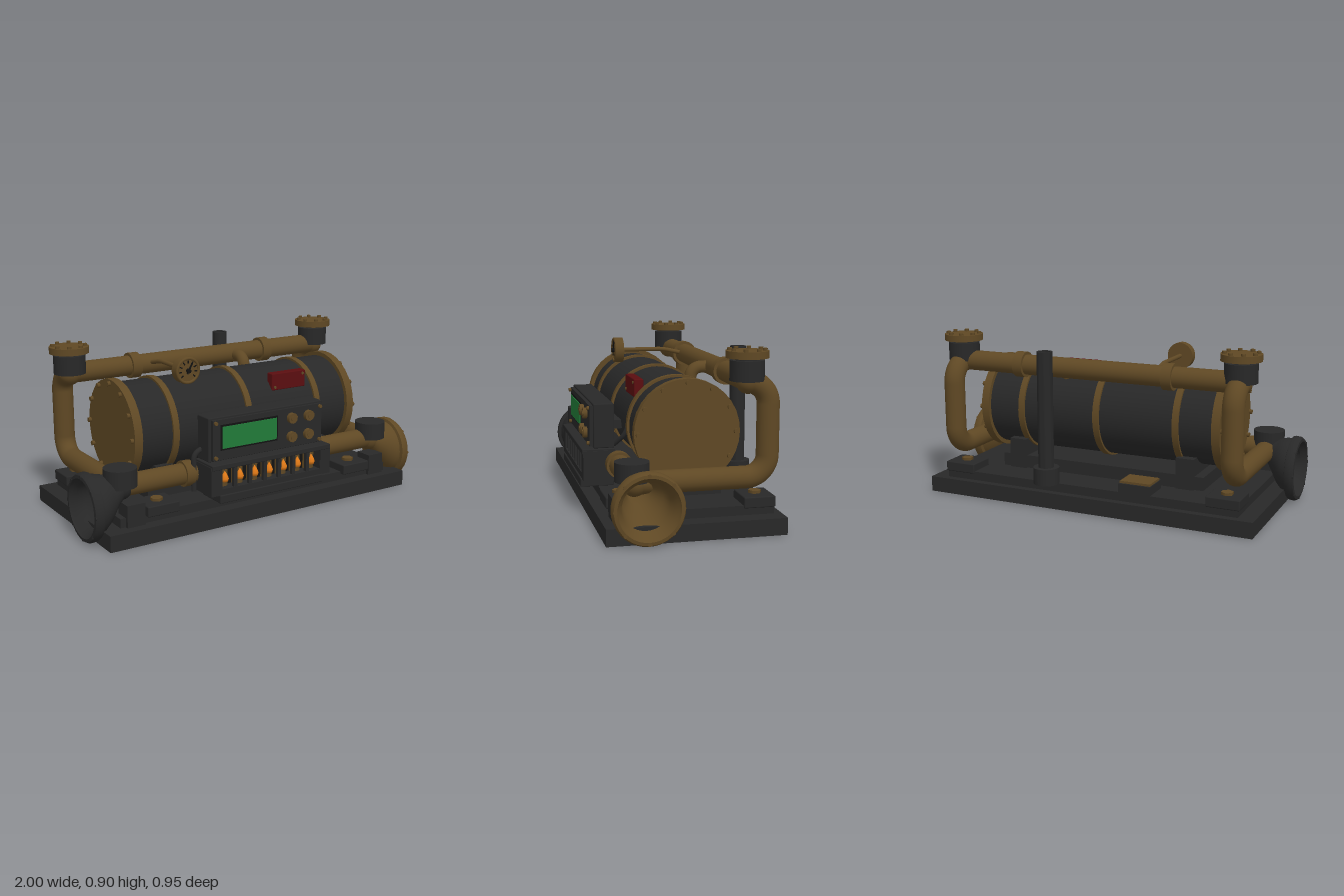
import * as THREE from 'three';
import { toCreasedNormals } from 'three/addons/utils/BufferGeometryUtils.js';
import { RoundedBoxGeometry } from 'three/addons/geometries/RoundedBoxGeometry.js';

const mat = (name, color) => new THREE.MeshStandardMaterial({ name, color });
const V = (x, y, z) => new THREE.Vector3(x, y, z);

export function createModel() {
  const root = new THREE.Group();
  root.name = 'steamMachine';
  const iron = mat('black iron', 0x282828);
  const brass = mat('aged brass', 0x5f4824);
  const red = mat('dark red', 0x5a0e10);
  const green = mat('screen green', 0x217a38);
  const orange = mat('tube glow', 0xe07a18);
  const dark = mat('recess black', 0x121212);

  const add = (name, geo, m, x = 0, y = 0, z = 0) => {
    const mesh = new THREE.Mesh(geo, m);
    mesh.name = name;
    mesh.position.set(x, y, z);
    root.add(mesh);
    return mesh;
  };
  // Box given by its extents
  const box = (name, m, x0, x1, y0, y1, z0, z1, bevel = 0) => {
    const [w, h, d] = [x1 - x0, y1 - y0, z1 - z0];
    const geo = bevel ? new RoundedBoxGeometry(w, h, d, 2, bevel) : new THREE.BoxGeometry(w, h, d);
    return add(name, geo, m, (x0 + x1) / 2, (y0 + y1) / 2, (z0 + z1) / 2);
  };
  // Cylinder along a chosen axis
  const cyl = (name, m, r, len, axis, x, y, z, sides = 32) => {
    const geo = new THREE.CylinderGeometry(r, r, len, sides);
    if (axis === 'x') geo.rotateZ(-Math.PI / 2);
    if (axis === 'z') geo.rotateX(Math.PI / 2);
    return add(name, geo, m, x, y, z);
  };
  // Pipe through points with rounded corners
  const pipe = (name, m, r, bend, pts, segments = 60) => {
    const path = new THREE.CurvePath();
    let from = pts[0];
    for (let i = 1; i < pts.length - 1; i++) {
      const p = pts[i];
      const a = p.clone().add(pts[i - 1].clone().sub(p).setLength(bend));
      const b = p.clone().add(pts[i + 1].clone().sub(p).setLength(bend));
      path.add(new THREE.LineCurve3(from, a));
      path.add(new THREE.CubicBezierCurve3(a, a.clone().lerp(p, 0.55), b.clone().lerp(p, 0.55), b));
      from = b;
    }
    path.add(new THREE.LineCurve3(from, pts[pts.length - 1]));
    return add(name, new THREE.TubeGeometry(path, segments, r, 20), m);
  };

  // Base and deck
  box('base', iron, -0.94, 0.94, 0, 0.085, -0.44, 0.45);
  box('deck', iron, -0.85, 0.85, 0.085, 0.133, -0.4, 0.38);
  box('tankBed', iron, -0.6, 0.6, 0.133, 0.205, -0.205, 0.2);

  // Boiler tank with bands and bolted end rings
  const ty = 0.475;
  cyl('tank', iron, 0.245, 1.4, 'x', 0, ty, 0, 48);
  for (const x of [-0.455, 0, 0.455]) cyl('tankBand', brass, 0.257, 0.035, 'x', x, ty, 0, 48);
  for (const s of [-1, 1]) {
    cyl('endRing', brass, 0.268, 0.045, 'x', s * 0.678, ty, 0, 32);
    const ring = new THREE.RingGeometry(0.23, 0.264, 32);
    ring.rotateY(s * Math.PI / 2);
    add('endRim', ring, brass, s * 0.702, ty, 0);
    for (let i = 0; i < 12; i++) {
      const a = i * Math.PI / 6;
      cyl('tankBolt', brass, 0.013, 0.03, 'x', s * 0.703, ty + Math.sin(a) * 0.247, Math.cos(a) * 0.247, 8);
    }
    box('saddle', iron, s * 0.5 - 0.05, s * 0.5 + 0.05, 0.133, 0.3, -0.22, 0.2);
  }

  // Top pipe with its collars and tank feed
  cyl('topPipe', brass, 0.055, 1.61, 'x', 0, 0.74, -0.27);
  for (const s of [-1, 1]) cyl('topCollar', brass, 0.07, 0.055, 'x', s * 0.43, 0.74, -0.27);
  pipe('tankFeed', brass, 0.033, 0.04, [V(0.22, 0.64, -0.13), V(0.22, 0.735, -0.15), V(0.22, 0.74, -0.27)], 24);

  // Horn profile: outside up to the rim, then back down the inside
  const horn = [[0.06, 0.8], [0.085, 0.84], [0.125, 0.88], [0.15, 0.92], [0.155, 0.945], [0.172, 0.95],
    [0.176, 0.96], [0.176, 0.985], [0.168, 0.998], [0.152, 1], [0.145, 0.985], [0.125, 0.965],
    [0.118, 0.93], [0.1, 0.89], [0.06, 0.85], [0.05, 0.82], [0, 0.81]];

  for (const s of [-1, 1]) {
    const px = s * 0.805;
    const hornMat = s > 0 ? brass : iron;

    // Pipe running from the front elbow, back and up to the top pipe
    pipe('sidePipe', brass, 0.056, 0.11,
      [V(px, 0.265, 0.29), V(px, 0.265, -0.375), V(px, 0.735, -0.375), V(px, 0.735, -0.27)], 100);
    add('topElbow', new THREE.SphereGeometry(0.06, 24, 16), brass, px, 0.735, -0.27);

    // Upper valve and its bolted cap
    cyl('valveBody', iron, 0.085, 0.1, 'y', px, 0.79, -0.265);
    cyl('valveNeck', iron, 0.06, 0.02, 'y', px, 0.845, -0.265);
    cyl('valveCap', brass, 0.105, 0.035, 'y', px, 0.868, -0.265);
    for (let i = 0; i < 8; i++) {
      const a = (i + 0.5) * Math.PI / 4;
      cyl('capBolt', brass, 0.012, 0.014, 'y', px + Math.cos(a) * 0.085, 0.891, -0.265 + Math.sin(a) * 0.085, 8);
    }

    // Lower front pipe, elbow and its cap
    cyl('frontPipe', brass, 0.056, 0.46, 'x', s * 0.575, 0.27, 0.29);
    cyl('frontCollar', brass, 0.068, 0.05, 'x', s * 0.425, 0.27, 0.29);
    add('frontElbow', new THREE.SphereGeometry(0.066, 24, 16), hornMat, px, 0.265, 0.29);
    cyl('elbowCap', iron, 0.085, 0.095, 'y', px, 0.323, 0.3);

    // Bolted horn, leaning from the elbow towards the rim
    const geo = new THREE.LatheGeometry(horn.map(([r, y]) => new THREE.Vector2(r, y)), 36);
    geo.rotateZ(-s * Math.PI / 2);
    const p = geo.attributes.position;
    for (let i = 0; i < p.count; i++) {
      const t = Math.min(1, (1 - Math.abs(p.getX(i))) / 0.2);
      p.setY(i, p.getY(i) + 0.178 + 0.087 * t * t);
      p.setZ(i, p.getZ(i) + 0.255 + 0.035 * t * t);
    }
    add('horn', toCreasedNormals(geo, 0.7), hornMat);
    for (let i = 0; i < 8; i++) {
      const a = i * Math.PI / 4;
      cyl('hornBolt', hornMat, 0.01, 0.012, 'x', s * 0.994, 0.178 + Math.sin(a) * 0.162, 0.255 + Math.cos(a) * 0.162, 8);
    }

    // Hold-down feet and pipe supports
    for (const [x, z] of [[0.62, 0.33], [0.77, -0.325]]) {
      box('foot', iron, s * x - 0.09, s * x + 0.09, 0.12, 0.175, z - 0.08, z + 0.08, 0.006);
      cyl('footBolt', brass, 0.033, 0.015, 'y', s * x, 0.182, z, 6);
    }
    box('pipeSupport', iron, s * 0.77 - 0.05, s * 0.77 + 0.05, 0.085, 0.2, 0.3, 0.4);
  }

  // Exhaust stack
  cyl('stackBase', iron, 0.07, 0.09, 'y', 0.22, 0.175, -0.405);
  const stackShape = [[0.042, 0.2], [0.042, 0.845], [0.03, 0.845], [0.03, 0.7], [0, 0.7]];
  add('stack', toCreasedNormals(new THREE.LatheGeometry(stackShape.map(([r, y]) => new THREE.Vector2(r, y)), 28), 0.7),
    iron, 0.22, 0, -0.405);

  // Rear junction box
  box('junctionBox', iron, -0.38, -0.2, 0.133, 0.18, -0.4, -0.25);
  box('junctionLid', brass, -0.375, -0.205, 0.18, 0.192, -0.39, -0.26);

  // Pressure gauge on its feed line
  const gx = -0.335, gy = 0.778;
  pipe('gaugeLine', brass, 0.012, 0.03, [V(gx, gy, 0.13), V(gx, gy, -0.12), V(gx, 0.75, -0.24)], 30);
  cyl('gaugeBody', brass, 0.072, 0.045, 'z', gx, gy, 0.148);
  add('gaugeRim', new THREE.TorusGeometry(0.064, 0.008, 10, 32), brass, gx, gy, 0.17);
  for (let i = 0; i < 9; i++) {
    const a = -0.7 + i * 0.567;
    const tick = add('gaugeTick', new THREE.BoxGeometry(0.016, 0.006, 0.004), dark,
      gx + Math.cos(a) * 0.046, gy + Math.sin(a) * 0.046, 0.172);
    tick.rotation.z = a;
  }
  const needle = add('gaugeNeedle', new THREE.BoxGeometry(0.008, 0.065, 0.005), dark, gx + 0.007, gy + 0.012, 0.178);
  needle.rotation.z = -0.5;
  cyl('gaugeHub', dark, 0.012, 0.016, 'z', gx, gy, 0.178, 12);

  // Red warning box
  box('redBox', red, 0.175, 0.4, 0.61, 0.705, 0.155, 0.205, 0.006);
  for (const [x, y] of [[0.195, 0.628], [0.38, 0.687]]) cyl('redBoxScrew', brass, 0.008, 0.008, 'z', x, y, 0.206, 8);

  // Sensor with its cable
  cyl('sensor', brass, 0.026, 0.04, 'z', 0.385, 0.555, 0.2, 16);
  pipe('sensorCable', iron, 0.012, 0.03, [V(0.385, 0.55, 0.21), V(0.39, 0.42, 0.25), V(0.34, 0.36, 0.3)], 24);
  pipe('sideCable', iron, 0.014, 0.03, [V(-0.35, 0.4, 0.33), V(-0.4, 0.38, 0.33), V(-0.4, 0.18, 0.33)], 24);

  // Control panel
  box('panelBracket', iron, -0.25, 0.25, 0.425, 0.47, 0.2, 0.31);
  box('panelBody', iron, -0.36, 0.36, 0.345, 0.578, 0.302, 0.41, 0.006);
  box('panelPlate', iron, -0.345, 0.345, 0.355, 0.567, 0.405, 0.428);
  box('screenBezel', dark, -0.3, 0.055, 0.405, 0.54, 0.424, 0.431);
  box('screen', green, -0.29, 0.045, 0.415, 0.53, 0.428, 0.436);
  for (const x of [0.142, 0.252]) for (const y of [0.413, 0.515]) {
    cyl('knob', brass, 0.029, 0.022, 'z', x, y, 0.439, 10);
    cyl('knobCap', brass, 0.015, 0.008, 'z', x, y, 0.45, 10);
  }
  for (const x of [-0.33, 0.33]) for (const y of [0.37, 0.553])
    cyl('panelScrew', brass, 0.01, 0.016, 'z', x, y, 0.433, 8);

  // Tube cabinet: open front with bars and glowing tubes
  box('cabinetBack', dark, -0.36, 0.36, 0.18, 0.33, 0.3, 0.4);
  box('cabinetTop', iron, -0.375, 0.375, 0.318, 0.345, 0.3, 0.473, 0.004);
  box('cabinetFloor', iron, -0.375, 0.375, 0.18, 0.212, 0.3, 0.468);
  box('cabinetSill', iron, -0.33, 0.33, 0.138, 0.182, 0.3, 0.476, 0.005);
  for (const s of [-1, 1]) box('cabinetSide', iron, s * 0.347 - 0.033, s * 0.347 + 0.033, 0.18, 0.335, 0.3, 0.468);
  for (let i = 0; i < 8; i++) box('bar', iron, -0.333 + i * 0.0923, -0.313 + i * 0.0923, 0.2, 0.325, 0.445, 0.465);
  const glow = [[0, 0], [0.017, 0.004], [0.022, 0.02], [0.013, 0.042], [0, 0.062]];
  for (let i = 0; i < 7; i++) {
    const x = -0.277 + i * 0.0923;
    cyl('tubeBack', brass, 0.033, 0.105, 'y', x, 0.265, 0.4, 16);
    add('tubeGlow', new THREE.LatheGeometry(glow.map(([r, y]) => new THREE.Vector2(r, y)), 14), orange, x, 0.235, 0.432);
  }
  return root;
}
